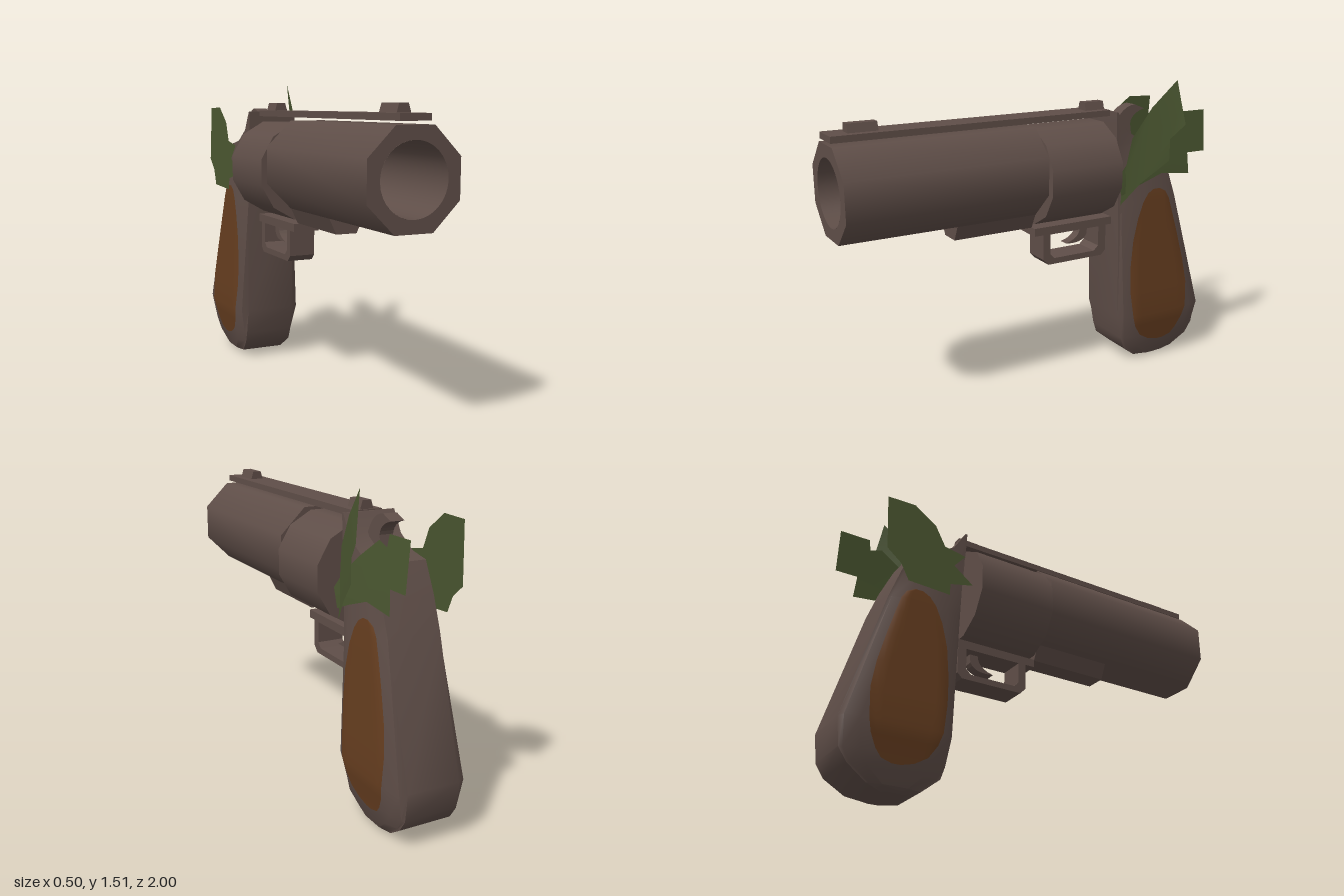
import * as THREE from 'three';
import { toCreasedNormals } from 'three/addons/utils/BufferGeometryUtils.js';

const material = (name, color) => new THREE.MeshStandardMaterial({ name, color, side: THREE.DoubleSide });

// Surface through rows of [x, y, z] points
function loft(rows, closed) {
  const n = rows[0].length, index = [];
  for (let r = 0; r < rows.length - 1; r++) {
    for (let i = 0; i < (closed ? n : n - 1); i++) {
      const a = r * n + i, b = r * n + (i + 1) % n;
      index.push(a, b, b + n, a, b + n, a + n);
    }
  }
  const g = new THREE.BufferGeometry();
  g.setAttribute('position', new THREE.Float32BufferAttribute(rows.flat(2), 3));
  g.setIndex(index);
  g.computeVertexNormals();
  return g;
}

const shapeOf = (pts) => new THREE.Shape(pts.map(([x, y]) => new THREE.Vector2(x, y)));

// Front outline (x, y) extruded from z0 to z1
const prism = (pts, z0, z1) =>
  new THREE.ExtrudeGeometry(shapeOf(pts), { depth: z1 - z0, bevelEnabled: false }).translate(0, 0, z0);

// Side outline (z, y) extruded across the width
const slab = (shape, width) =>
  new THREE.ExtrudeGeometry(shape, { depth: width, bevelEnabled: false, curveSegments: 6 })
    .rotateY(-Math.PI / 2).translate(width / 2, 0, 0);

// Grip levels: y, front z, back z, half width, half width at the edges
const LEVELS = [
  [0.005, -0.68, -0.77, 0.10, 0.09],
  [0.025, -0.60, -0.85, 0.13, 0.115],
  [0.09, -0.52, -0.945, 0.15, 0.13],
  [0.15, -0.50, -0.985, 0.16, 0.13],
  [0.28, -0.475, -1.0, 0.183, 0.13],
  [0.90, -0.455, -0.82, 0.155, 0.13],
  [1.05, -0.45, -0.765, 0.142, 0.13],
  [1.19, -0.44, -0.70, 0.132, 0.128],
  [1.21, -0.44, -0.60, 0.13, 0.128],
  [1.27, -0.435, -0.50, 0.13, 0.13],
  [1.37, -0.43, -0.44, 0.13, 0.13],
];

// Half width of the grip at a height and depth
function gripSide(y, z) {
  let i = 0;
  while (i < LEVELS.length - 2 && LEVELS[i + 1][0] < y) i++;
  const t = (y - LEVELS[i][0]) / (LEVELS[i + 1][0] - LEVELS[i][0]);
  const [, zf, zb, w, e] = LEVELS[i].map((v, k) => THREE.MathUtils.lerp(v, LEVELS[i + 1][k], t));
  const d = Math.min(zf - z, z - zb);
  const shoulder = Math.max(e, w - 0.02);
  return d < 0.015 ? THREE.MathUtils.lerp(e, shoulder, d / 0.015)
    : THREE.MathUtils.lerp(shoulder, w, Math.min(1, (d - 0.015) / 0.065));
}

function gripGeometry() {
  const rows = LEVELS.map(([y, zf, zb, w, e]) => {
    const k = Math.min(1, (zf - zb) / 0.3), s = Math.max(e, w - 0.02);
    const half = [[e, zf], [s, zf - 0.015 * k], [w, zf - 0.08 * k],
      [w, zb + 0.08 * k], [s, zb + 0.015 * k], [e, zb]];
    return [...half.map(([x, z]) => [x, y, z]), ...half.reverse().map(([x, z]) => [-x, y, z])];
  });
  // Close the ends onto their centre lines
  const cap = (row) => row.map(([x, y]) => [x, y, (row[0][2] + row[5][2]) / 2]);
  return toCreasedNormals(loft([cap(rows[0]), ...rows, cap(rows.at(-1))], true), 0.6);
}

// Grip inlay rows: y, front z, back z
const INLAY = [
  [0.11, -0.72, -0.76], [0.125, -0.66, -0.81], [0.16, -0.60, -0.84], [0.22, -0.56, -0.87],
  [0.28, -0.54, -0.885], [0.42, -0.522, -0.888], [0.55, -0.52, -0.865], [0.7, -0.533, -0.825],
  [0.82, -0.562, -0.79], [0.90, -0.595, -0.765], [0.94, -0.625, -0.74], [0.96, -0.66, -0.70],
];
const inlayGeometry = () => loft(INLAY.map(([y, zf, zb]) => Array.from({ length: 13 }, (_, i) => {
  const z = zf + (zb - zf) * i / 12;
  return [gripSide(y, z) + 0.005, y, z];
})), false);

// Flat leaf outlined in (z, y), leaning outward by a rule for x
function leafGeometry(pts, xAt) {
  const g = new THREE.ShapeGeometry(shapeOf(pts)).rotateY(-Math.PI / 2);
  const p = g.attributes.position;
  for (let i = 0; i < p.count; i++) p.setX(i, xAt(p.getZ(i), p.getY(i)));
  g.computeVertexNormals();
  return g;
}

export function createModel() {
  const metal = material('brown metal', 0x5f4e48);
  const wood = material('orange wood', 0x653d1f);
  const green = material('leaf green', 0x4a5630);
  const model = new THREE.Group();
  model.name = 'revolver';
  const body = new THREE.Group();
  body.name = 'body';
  body.position.x = -0.01;
  model.add(body);
  const add = (name, geometry, mat = metal) => {
    const mesh = new THREE.Mesh(geometry, mat);
    mesh.name = name;
    body.add(mesh);
    return mesh;
  };

  // Eight-sided barrel with a round bore
  const R = 0.2325, BY = 1.115, BORE = 0.157;
  add('barrel', new THREE.CylinderGeometry(R, R, 0.99, 8, 1, true)
    .rotateY(Math.PI / 8).rotateX(Math.PI / 2).translate(0, BY, 0.505));
  const octagon = Array.from({ length: 8 }, (_, i) => {
    const a = (i + 0.5) * Math.PI / 4;
    return [R * Math.cos(a), R * Math.sin(a)];
  });
  add('barrelBack', new THREE.ShapeGeometry(shapeOf(octagon)).rotateY(Math.PI).translate(0, BY, 0.01));
  const muzzle = shapeOf(octagon);
  muzzle.holes.push(new THREE.Path().absarc(0, 0, BORE, 0, Math.PI * 2, true));
  add('muzzle', new THREE.ShapeGeometry(muzzle, 32).translate(0, BY, 1));
  add('bore', new THREE.CylinderGeometry(BORE, BORE, 0.95, 32, 1, true)
    .rotateX(Math.PI / 2).translate(0, BY, 0.525));
  add('boreEnd', new THREE.CircleGeometry(BORE, 32).translate(0, BY, 0.05));

  // Round chamber drum
  add('drum', new THREE.CylinderGeometry(0.245, 0.245, 0.4, 12)
    .rotateY(Math.PI / 12).rotateX(Math.PI / 2).translate(-0.003, 1.08, -0.2));

  // Top rib, sights and the lug under the barrel
  add('topRib', new THREE.BoxGeometry(0.145, 0.03, 1.43).translate(0, 1.36, 0.285));
  const sight = [[-0.034, 1.375], [0.034, 1.375], [0.022, 1.415], [-0.022, 1.415]];
  add('frontSight', prism(sight, 0.77, 0.91));
  add('rearSight', prism(sight, -0.42, -0.31));
  add('underLug', prism([[-0.09, 0.905], [-0.052, 0.825], [0.052, 0.825], [0.09, 0.905]], 0.01, 0.43));

  // Lower frame, trigger guard and trigger
  add('lowerFrame', new THREE.BoxGeometry(0.135, 0.04, 0.46).translate(0, 0.80, -0.23));
  const guard = shapeOf([[-0.425, 0.78], [-0.425, 0.645], [-0.40, 0.62], [-0.08, 0.62],
    [-0.05, 0.65], [-0.05, 0.78]]);
  guard.holes.push(new THREE.Path([[-0.38, 0.785], [-0.09, 0.785], [-0.09, 0.675], [-0.115, 0.65],
    [-0.355, 0.65], [-0.38, 0.675]].map(([x, y]) => new THREE.Vector2(x, y))));
  guard.holes[0].getPoints().forEach((p) => p);
  for (const c of guard.holes[0].curves) for (const v of [c.v1, c.v2]) v.y = Math.min(v.y, 0.778);
  add('triggerGuard', slab(guard, 0.135));
  const trigger = new THREE.Shape();
  trigger.moveTo(-0.295, 0.785);
  trigger.quadraticCurveTo(-0.30, 0.72, -0.21, 0.70);
  trigger.quadraticCurveTo(-0.31, 0.685, -0.335, 0.735);
  trigger.lineTo(-0.34, 0.785);
  add('trigger', slab(trigger, 0.05));

  // Grip with an inlay on each side
  add('grip', gripGeometry());
  add('leftInlay', inlayGeometry(), wood);
  add('rightInlay', inlayGeometry(), wood).scale.x = -1;

  // Curved hammer spur
  const hammer = new THREE.Shape();
  hammer.moveTo(-0.48, 1.25);
  hammer.lineTo(-0.49, 1.29);
  hammer.quadraticCurveTo(-0.53, 1.38, -0.61, 1.385);
  hammer.lineTo(-0.67, 1.36);
  hammer.quadraticCurveTo(-0.59, 1.34, -0.585, 1.29);
  hammer.lineTo(-0.60, 1.19);
  add('hammer', slab(hammer, 0.068));

  // Leaves tied around the top of the grip
  add('tallLeaf', leafGeometry([[-0.45, 0.90], [-0.46, 1.03], [-0.50, 1.24], [-0.60, 1.39],
    [-0.73, 1.52], [-0.745, 1.42], [-0.765, 1.30], [-0.69, 1.23], [-0.69, 1.12], [-0.55, 1.01]],
  (z, y) => 0.155 + (-0.45 - z) * 0.32 - Math.max(0, y - 1.3) * 0.12), green);
  add('backLeaf', leafGeometry([[-0.45, 0.95], [-0.42, 1.04], [-0.50, 1.13], [-0.62, 1.22],
    [-0.76, 1.31], [-0.82, 1.29], [-0.83, 1.345], [-0.98, 1.345], [-0.98, 1.13], [-0.87, 1.13],
    [-0.88, 1.02], [-0.70, 1.04], [-0.55, 0.99]], (z, y) => 0.163 - Math.max(0, y - 1.05) * 0.08), green);
  add('sideLeaf', leafGeometry([[-0.88, 1.385], [-0.74, 1.39], [-0.63, 1.31], [-0.58, 1.21],
    [-0.47, 1.19], [-0.53, 1.12], [-0.43, 1.04], [-0.55, 1.01], [-0.55, 0.95], [-0.76, 0.96],
    [-0.80, 1.04], [-0.87, 1.10]], (z, y) => -0.195 + (y - 1.2) * 0.05), green);
  return model;
}
